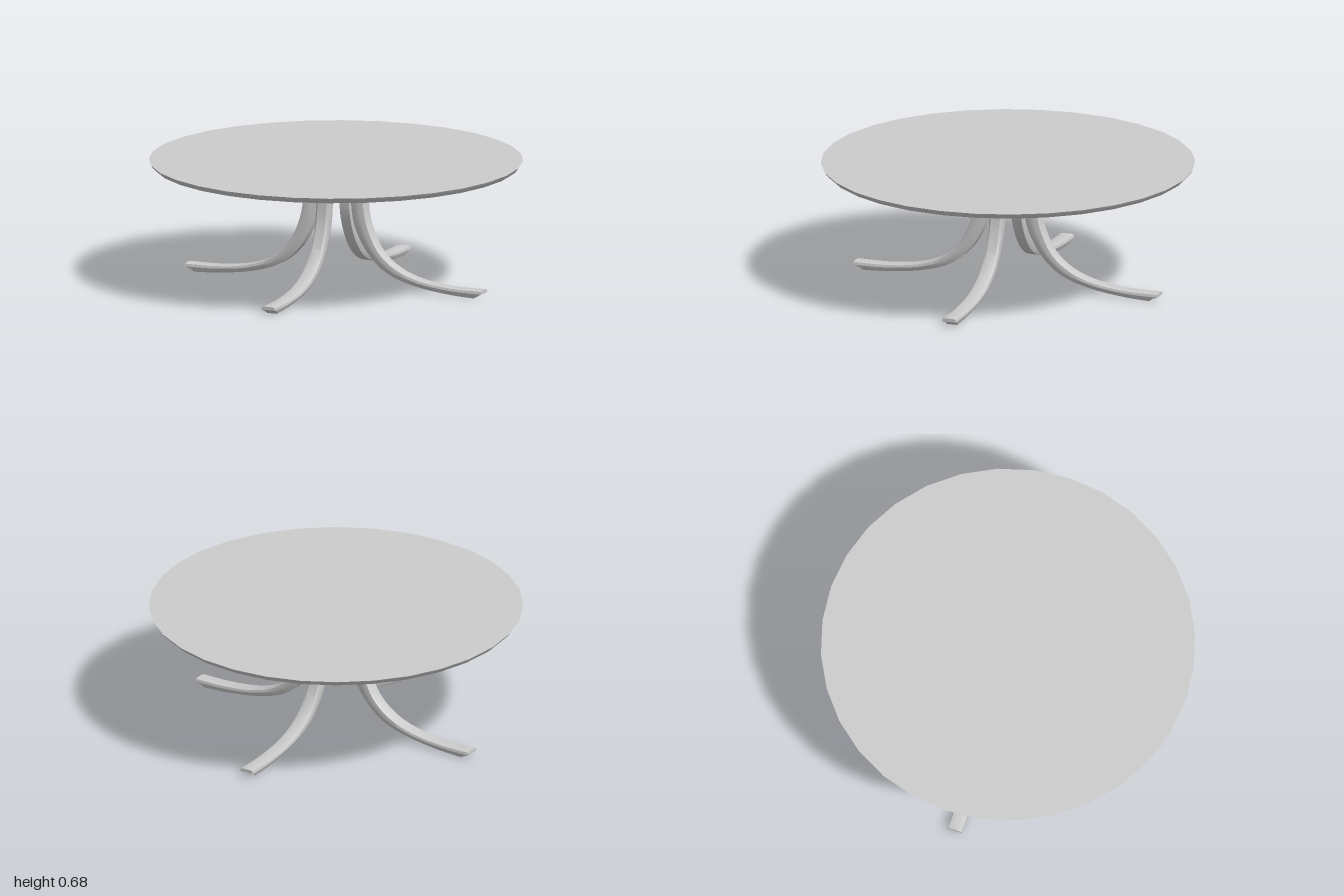
import * as THREE from 'three';
import { toCreasedNormals } from 'three/addons/utils/BufferGeometryUtils.js';

const material = new THREE.MeshStandardMaterial({ color: 0xcccccc });

function addMesh(parent, geometry, name, crease = 0.45) {
  const mesh = new THREE.Mesh(toCreasedNormals(geometry, crease), material);
  mesh.name = name;
  parent.add(mesh);
  return mesh;
}

function lathe(points) {
  return new THREE.LatheGeometry(points.map(([r, y]) => new THREE.Vector2(r, y)), 32);
}

// Paired stations down the leg: outer x, y and inner x, y
const STATIONS = [
  [0.19, 0.63, 0.105, 0.63],
  [0.18, 0.49, 0.1, 0.47],
  [0.2, 0.35, 0.125, 0.325],
  [0.265, 0.21, 0.2, 0.19],
  [0.37, 0.12, 0.315, 0.09],
  [0.51, 0.068, 0.48, 0.035],
  [0.69, 0.046, 0.67, 0.008],
  [0.87, 0.045, 0.82, 0],
];

// Half cross-section: depth from outer (0) to inner (1) face, half width
const SECTION = [[0, 0], [0, 0.026], [0.08, 0.037], [0.4, 0.04], [0.65, 0.037], [1, 0.028]];

// Curved leg pointing along +x, lofted between its outer and inner edges
function legGeometry() {
  const spline = (i) => new THREE.SplineCurve(STATIONS.map((s) => new THREE.Vector2(s[i], s[i + 1])));
  const outer = spline(0);
  const inner = spline(2);
  const half = SECTION.slice(1);
  const ring = [...half, ...half.map(([t, w]) => [t, -w]).reverse()];
  const n = ring.length;
  const steps = 28;
  const positions = [];
  const index = [];

  for (let s = 0; s <= steps; s++) {
    const a = outer.getPoint(s / steps);
    const b = inner.getPoint(s / steps);
    for (const [t, w] of ring) {
      const p = a.clone().lerp(b, t);
      // blunt nose at the toe
      if (s === steps && t > 0 && t < 0.5) p.x = 0.87;
      positions.push(p.x, p.y, w);
    }
  }
  for (let s = 0; s < steps; s++) {
    for (let j = 0; j < n; j++) {
      const a = s * n + j;
      const b = s * n + ((j + 1) % n);
      index.push(a, b, a + n, b, b + n, a + n);
    }
  }
  // toe cap, closed in strips across the leg
  const base = steps * n;
  for (let j = 0; j < half.length - 1; j++) {
    const [a, b, c, d] = [j, j + 1, n - 2 - j, n - 1 - j].map((k) => base + k);
    index.push(a, b, c, a, c, d);
  }

  const geometry = new THREE.BufferGeometry();
  geometry.setAttribute('position', new THREE.Float32BufferAttribute(positions, 3));
  geometry.setIndex(index);
  geometry.computeVertexNormals();
  return geometry;
}

export function createModel() {
  const table = new THREE.Group();
  table.name = 'roundTable';

  // Round top with an undercut rim
  addMesh(table, lathe([[0, 0.65], [0.975, 0.65], [0.99, 0.665], [1, 0.68], [0, 0.68]]), 'tableTop');

  // Shallow dished hub under the top
  addMesh(table, lathe([[0, 0.622], [0.25, 0.622], [0.28, 0.634], [0.31, 0.652]]), 'hub', 0.6);

  // Four splayed legs
  const leg = legGeometry();
  ['leftLeg', 'backLeg', 'rightLeg', 'frontLeg'].forEach((name, i) => {
    addMesh(table, leg, name).rotation.y = (i * Math.PI) / 2;
  });

  return table;
}
